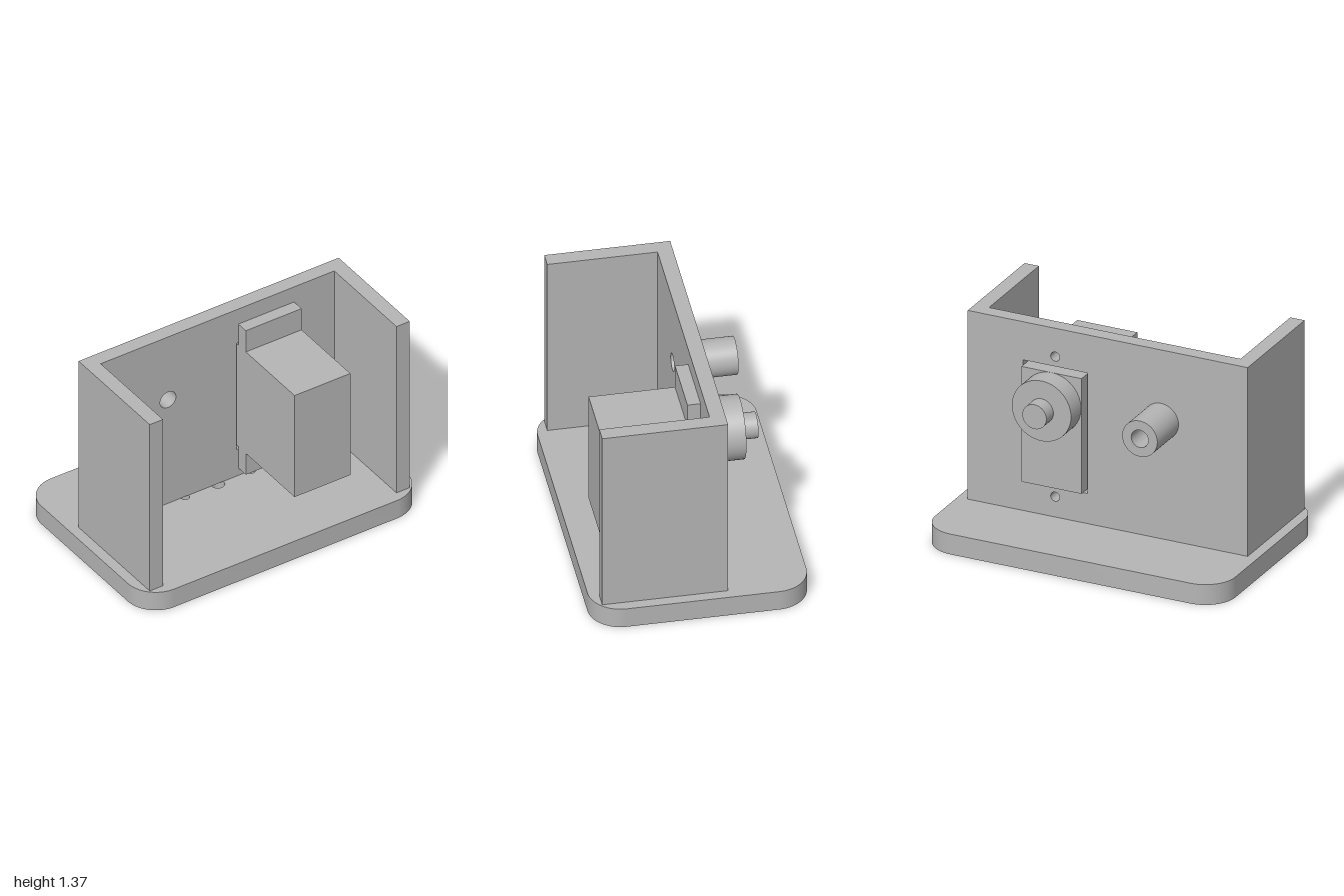
import * as THREE from 'three';
import { toCreasedNormals } from 'three/addons/utils/BufferGeometryUtils.js';

const grey = new THREE.MeshStandardMaterial({ color: 0xb5b5b5 });
grey.name = 'grey plastic';

const circle = (x, y, r) => new THREE.Path().absarc(x, y, r, 0, Math.PI * 2, true);

function rect(x0, y0, x1, y1, Type = THREE.Shape) {
  return new Type([[x0, y0], [x1, y0], [x1, y1], [x0, y1]].map(p => new THREE.Vector2(...p)));
}

// Extrude a shape with holes, keeping curves smooth and edges sharp
function extrude(shape, depth, holes = []) {
  shape.holes.push(...holes);
  const geo = new THREE.ExtrudeGeometry(shape, { depth, bevelEnabled: false, curveSegments: 24 });
  return toCreasedNormals(geo, 0.5);
}

export function createModel() {
  const model = new THREE.Group();
  model.name = 'motorBracket';

  function add(parent, name, geometry) {
    const mesh = new THREE.Mesh(geometry, grey);
    mesh.name = name;
    parent.add(mesh);
    return mesh;
  }

  function box(parent, name, [x0, x1], [y0, y1], [z0, z1]) {
    const geo = new THREE.BoxGeometry(x1 - x0, y1 - y0, z1 - z0);
    geo.translate((x0 + x1) / 2, (y0 + y1) / 2, (z0 + z1) / 2);
    return add(parent, name, geo);
  }

  // Cylinder lying along z
  function disc(parent, name, x, y, r, z0, z1) {
    const geo = new THREE.CylinderGeometry(r, r, z1 - z0, 48);
    geo.rotateX(Math.PI / 2).translate(x, y, (z0 + z1) / 2);
    return add(parent, name, geo);
  }

  const baseTop = 0.133, wallTop = 1.37, wallBack = -0.165, wallFront = -0.07;
  const axleY = 0.903, motorX = 0.35, tubeX = -0.355, tubeHole = 0.057;

  // Rounded base plate with three mounting holes
  const W = 1, D = 0.665, R = 0.2;
  const outline = new THREE.Shape();
  outline.absarc(W - R, D - R, R, 0, Math.PI / 2);
  outline.absarc(-W + R, D - R, R, Math.PI / 2, Math.PI);
  outline.absarc(-W + R, -D + R, R, Math.PI, Math.PI * 1.5);
  outline.absarc(W - R, -D + R, R, Math.PI * 1.5, Math.PI * 2);
  const baseHoles = [circle(0, 0.067, 0.042), circle(-0.235, 0.067, 0.027), circle(0.235, 0.067, 0.027)];
  const base = add(model, 'basePlate', extrude(outline, baseTop, baseHoles));
  base.rotation.x = -Math.PI / 2;

  // Back wall: motor window, two screw holes and the tube bore
  const wallHoles = [
    rect(0.135, 0.33, 0.565, 1.12, THREE.Path),
    circle(motorX, 1.184, 0.03),
    circle(motorX, 0.266, 0.03),
    circle(tubeX, axleY, tubeHole),
  ];
  const wall = add(model, 'backWall',
    extrude(rect(-0.933, baseTop, 0.933, wallTop), wallFront - wallBack, wallHoles));
  wall.position.z = wallBack;

  // Side walls
  box(model, 'rightWall', [-0.933, -0.838], [baseTop, wallTop], [wallFront, 0.6]);
  box(model, 'leftWall', [0.838, 0.933], [baseTop, wallTop], [wallFront, 0.6]);

  // Hollow axle tube on the back wall
  const ring = new THREE.Shape().absarc(tubeX, axleY, 0.117, 0, Math.PI * 2);
  const tube = add(model, 'axleTube', extrude(ring, 0.285, [circle(tubeX, axleY, tubeHole)]));
  tube.position.z = -0.45;

  // Motor: body through the window, mounting ears, gearbox and shaft
  const motor = new THREE.Group();
  motor.name = 'motor';
  model.add(motor);
  const mx = [0.15, 0.55];
  box(motor, 'motorBody', mx, [0.345, 1.1], [-0.215, 0.535]);
  box(motor, 'upperEar', mx, [1.1, 1.258], [wallFront, 0.01]);
  box(motor, 'lowerEar', mx, [0.187, 0.345], [wallFront, 0.01]);
  disc(motor, 'gearbox', motorX, axleY, 0.197, -0.35, -0.215);
  disc(motor, 'outputShaft', motorX, axleY, 0.08, -0.445, -0.35);

  return model;
}
